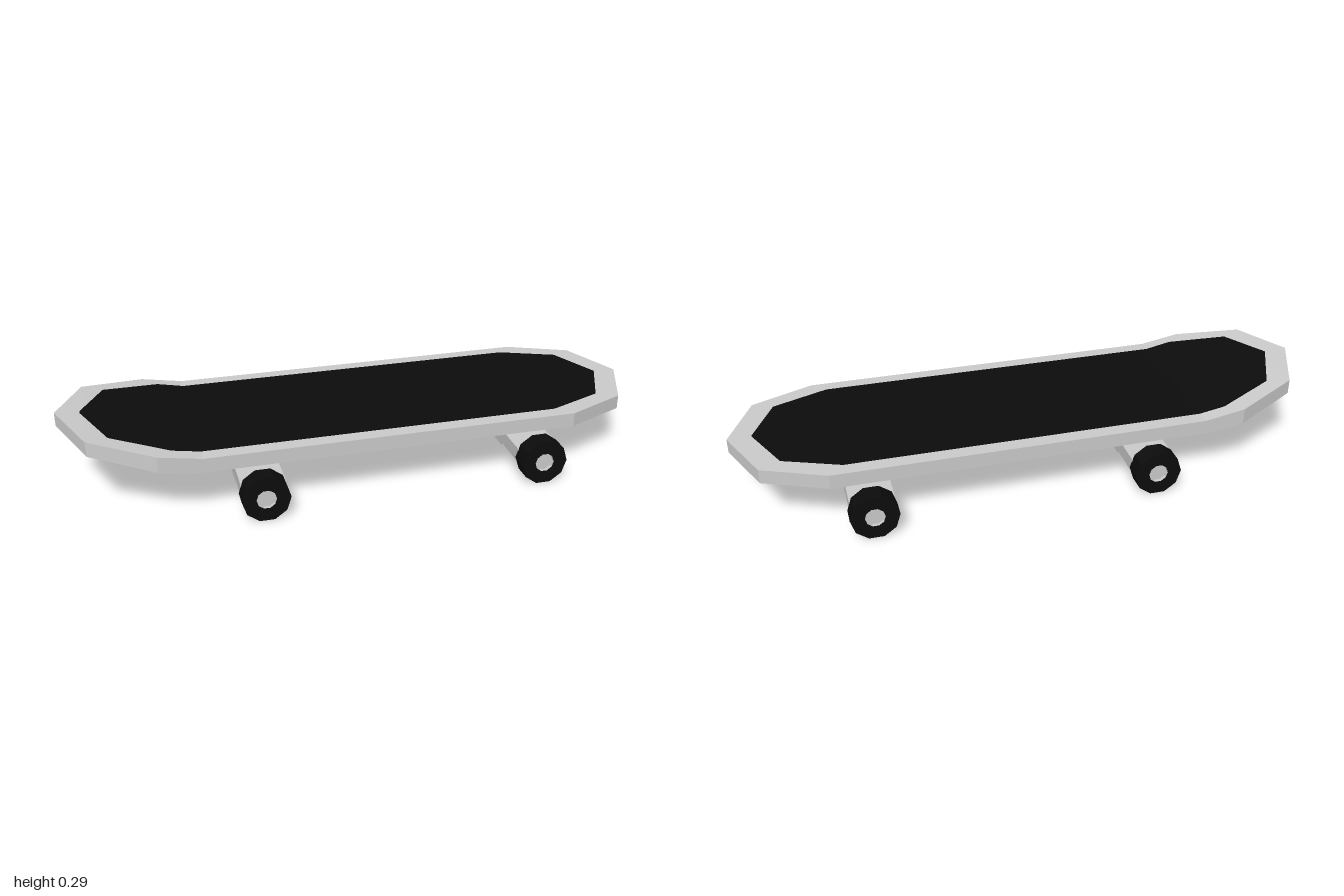
import * as THREE from 'three';

const grey = new THREE.MeshStandardMaterial({ color: 0xcccccc, flatShading: true });
const black = new THREE.MeshStandardMaterial({ color: 0x0c0c0c, flatShading: true });

// Slab lofted along x from stations [xTop, xBottom, halfWidth, yTop, yBottom]
function slab(stations) {
  const pos = [];
  const quad = (a, b, c, d) => pos.push(...a, ...b, ...c, ...a, ...c, ...d);
  const rings = stations.map(([xt, xb, w, yt, yb]) => ({
    tl: [xt, yt, w], tr: [xt, yt, -w], bl: [xb, yb, w], br: [xb, yb, -w],
  }));
  for (let i = 0; i < rings.length - 1; i++) {
    const p = rings[i], q = rings[i + 1];
    quad(p.tl, q.tl, q.tr, p.tr); // top
    quad(p.br, q.br, q.bl, p.bl); // underside
    quad(p.bl, q.bl, q.tl, p.tl); // +z edge
    quad(p.tr, q.tr, q.br, p.br); // -z edge
  }
  const g = new THREE.BufferGeometry();
  g.setAttribute('position', new THREE.Float32BufferAttribute(pos, 3));
  g.computeVertexNormals();
  return g;
}

function addMesh(parent, name, geometry, material) {
  const mesh = new THREE.Mesh(geometry, material);
  mesh.name = name;
  parent.add(mesh);
  return mesh;
}

// Ten-sided lathe turned so that its axis points along z
function turned(points) {
  const g = new THREE.LatheGeometry(points.map(([r, h]) => new THREE.Vector2(r, h)), 10);
  return g.rotateY(Math.PI / 2).rotateX(Math.PI / 2);
}

function createWheel() {
  const wheel = new THREE.Group();
  wheel.name = 'wheel';
  // Tyre: closed inner face, open recess on the outer face
  addMesh(wheel, 'tyre', turned([[0, -0.031], [0.08, -0.031], [0.08, 0.031], [0.033, 0.031]]), black);
  // Recessed hub
  addMesh(wheel, 'hub', turned([[0.033, 0.031], [0.033, 0.019], [0, 0.019]]), grey);
  return wheel;
}

function createTruck() {
  const truck = new THREE.Group();
  truck.name = 'truck';
  // Stepped profile: neck, hanger and axle in one piece
  const half = [[0.057, 0.167], [0.057, 0.115], [0.168, 0.115], [0.168, 0.107],
    [0.303, 0.107], [0.303, 0.059], [0.168, 0.059], [0.168, 0.05]];
  const outline = [...half, ...half.map(([z, y]) => [-z, y]).reverse()];
  const shape = new THREE.Shape(outline.map(([z, y]) => new THREE.Vector2(z, y)));
  const body = new THREE.ExtrudeGeometry(shape, { depth: 0.146, bevelEnabled: false });
  body.translate(0, 0, -0.073).rotateY(Math.PI / 2);
  addMesh(truck, 'hanger', body, grey);
  for (const side of [1, -1]) {
    const wheel = createWheel();
    wheel.position.set(0, 0.0765, side * 0.332);
    if (side < 0) wheel.rotation.y = Math.PI;
    truck.add(wheel);
  }
  return truck;
}

export function createModel() {
  const board = new THREE.Group();
  board.name = 'skateboard';

  // Deck with a kicked-up tail at -x
  addMesh(board, 'deck', slab([
    [-1, -1, 0, 0.287, 0.24],
    [-0.91, -0.91, 0.21, 0.275, 0.224],
    [-0.7, -0.7, 0.3, 0.24, 0.186],
    [-0.56, -0.6, 0.3, 0.216, 0.167],
    [0.7, 0.7, 0.3, 0.216, 0.167],
    [0.91, 0.91, 0.21, 0.216, 0.167],
    [1, 1, 0, 0.216, 0.167],
  ]), grey);

  // Thin grip sheet following the deck
  const grip = [[-0.92, 0, 0.283], [-0.84, 0.175, 0.271], [-0.65, 0.25, 0.237], [-0.56, 0.25, 0.219],
    [0.65, 0.25, 0.219], [0.84, 0.175, 0.219], [0.92, 0, 0.219]];
  addMesh(board, 'grip', slab(grip.map(([x, w, y]) => [x, x, w, y, y - 0.008])), black);

  for (const x of [-0.375, 0.575]) {
    const truck = createTruck();
    truck.position.x = x;
    board.add(truck);
  }
  return board;
}
